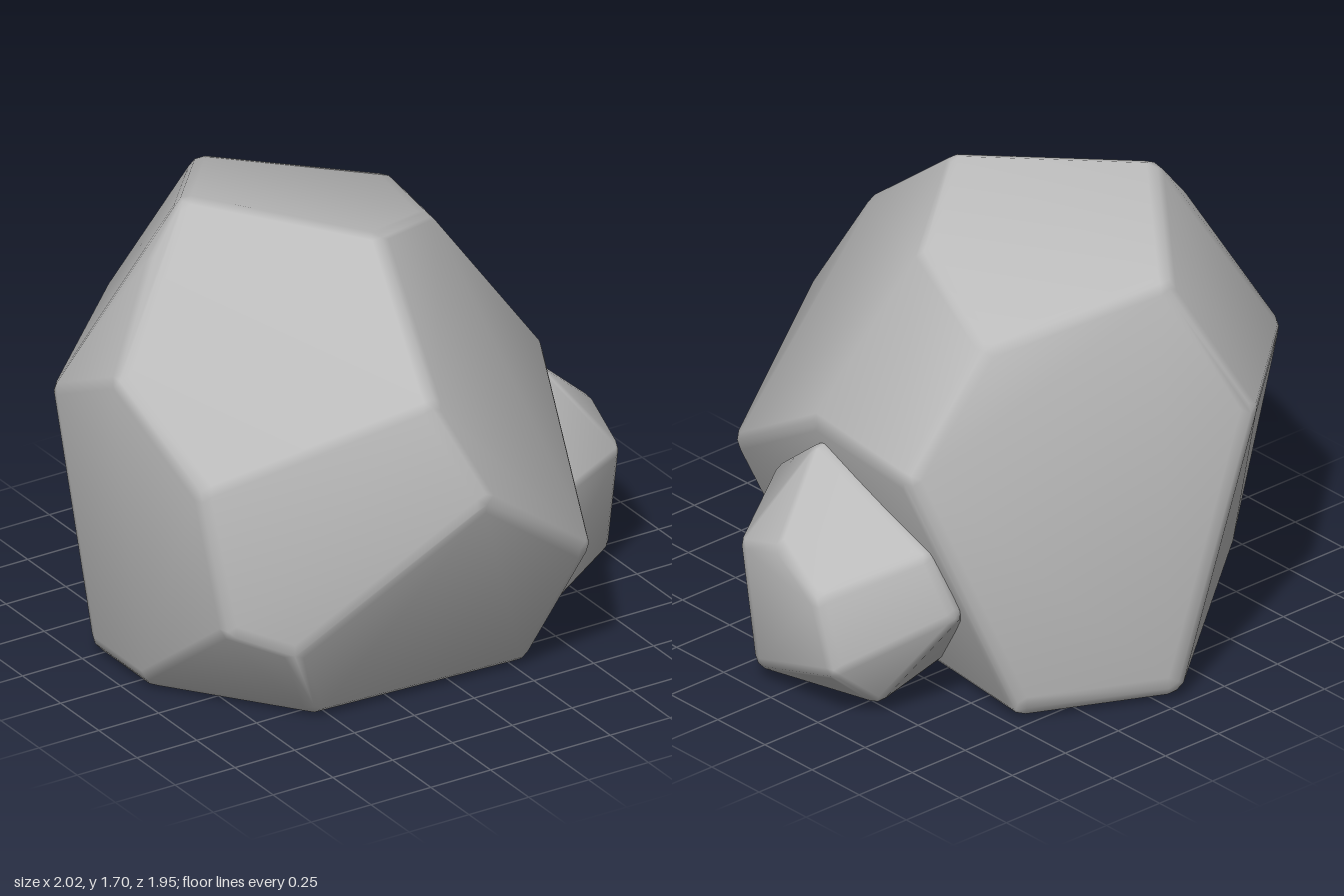
import * as THREE from 'three';
import { ConvexGeometry } from 'three/addons/geometries/ConvexGeometry.js';
import { mergeVertices } from 'three/addons/utils/BufferGeometryUtils.js';

// Convex boulder with softly rounded edges: a small ball is swept over the corner points.
function roundedHull(corners, radius) {
  const points = corners.map((c) => new THREE.Vector3(...c));
  const center = points.reduce((s, p) => s.add(p), new THREE.Vector3()).divideScalar(points.length);
  const ball = mergeVertices(new THREE.IcosahedronGeometry(radius, 1).deleteAttribute('normal').deleteAttribute('uv'));
  const dir = new THREE.Vector3();
  const cloud = [];
  for (const p of points) {
    const inset = p.clone().addScaledVector(dir.subVectors(center, p).normalize(), radius * 1.15);
    inset.y = Math.max(inset.y, radius);
    for (let i = 0; i < ball.attributes.position.count; i++) {
      cloud.push(new THREE.Vector3().fromBufferAttribute(ball.attributes.position, i).add(inset));
    }
  }
  const hull = new ConvexGeometry(cloud);
  hull.deleteAttribute('normal');
  const smooth = mergeVertices(hull, 1e-4);
  smooth.computeVertexNormals();

  // Lean the normals outwards a little, so the broad faces shade as gently domed.
  const { position, normal } = smooth.attributes;
  const n = new THREE.Vector3();
  for (let i = 0; i < position.count; i++) {
    dir.fromBufferAttribute(position, i).sub(center).normalize();
    n.fromBufferAttribute(normal, i).addScaledVector(dir, 0.35).normalize();
    normal.setXYZ(i, n.x, n.y, n.z);
  }
  return smooth;
}

export function createModel() {
  const group = new THREE.Group();
  group.name = 'rocks';
  const stone = new THREE.MeshStandardMaterial({ color: 0xbbbbbb });
  stone.name = 'grey stone';

  const largeCorners = [
    // sloping top
    [-0.56, 1.7, -0.29], [-0.1, 1.67, 0.28], [0.29, 1.53, 0], [0.45, 1.4, -0.53], [-0.18, 1.54, -0.78],
    // front ridge
    [-0.22, 1.24, 0.84], [-0.07, 0.89, 0.98], [0.44, 0.49, 0.82],
    // left-hand side
    [0.69, 0.94, 0.12], [0.77, 0.96, -0.48],
    // back
    [-0.43, 1.03, -0.96], [-0.99, 0.98, -0.47],
    // right-hand side
    [-0.72, 1.53, -0.25], [-1.01, 1.2, -0.04], [-0.96, 0.92, 0.47], [-0.91, 0.4, 0.58], [-0.72, 0.32, 0.7],
    // base
    [0.31, 0.01, 0.61], [0.46, 0.03, -0.73], [-0.04, 0.03, -0.97],
    [-0.94, 0.02, -0.25], [-0.93, 0, 0.06], [-0.55, 0, 0.57],
  ];

  const smallCorners = [
    // top and upper shoulder
    [0.66, 0.86, 0.12], [0.97, 0.61, 0], [0.67, 0.63, -0.49], [0.5, 0.56, 0.49],
    // outer face
    [0.93, 0.52, 0.24], [1.01, 0.48, -0.27], [0.62, 0.41, -0.57], [0.99, 0.21, -0.34],
    // base
    [0.94, 0.05, 0.13], [0.8, 0.05, -0.36], [0.38, 0.05, 0.47],
    // buried end
    [0.25, 0.06, -0.2], [0.3, 0.6, 0.1],
  ];

  for (const [name, corners, radius] of [
    ['largeBoulder', largeCorners, 0.07],
    ['smallBoulder', smallCorners, 0.06],
  ]) {
    const mesh = new THREE.Mesh(roundedHull(corners, radius), stone);
    mesh.name = name;
    group.add(mesh);
  }
  return group;
}
